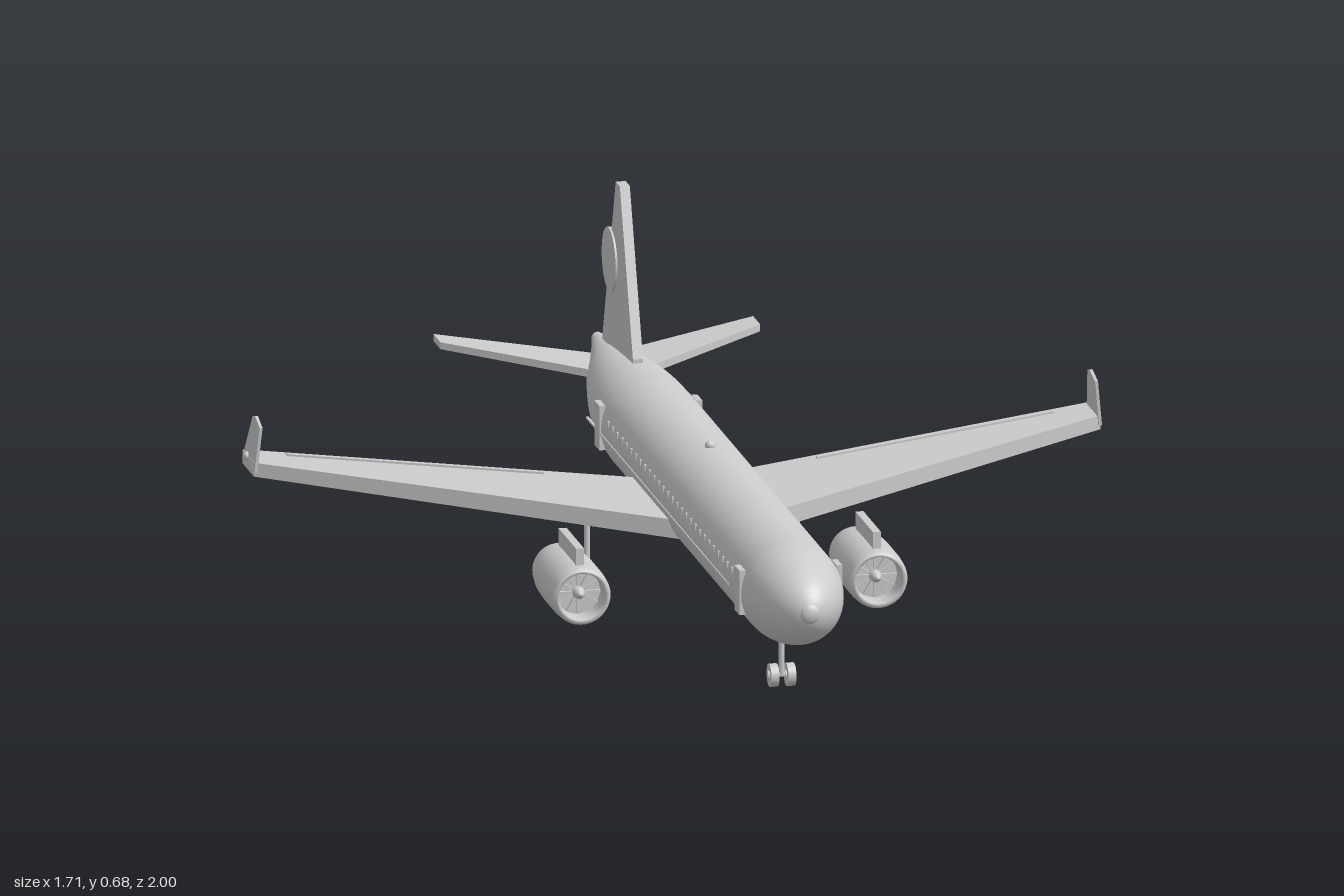
import * as THREE from 'three';

const grey = new THREE.MeshStandardMaterial({ color: 0xcccccc, side: THREE.DoubleSide });

function add(parent, name, geometry, x = 0, y = 0, z = 0) {
  const mesh = new THREE.Mesh(geometry, grey);
  mesh.name = name;
  mesh.position.set(x, y, z);
  parent.add(mesh);
  return mesh;
}

const box = (w, h, d) => new THREE.BoxGeometry(w, h, d);
const ball = (r) => new THREE.SphereGeometry(r, 16, 12);

// Cylinder lying along x
const wheelGeo = (r, w) => new THREE.CylinderGeometry(r, r, w, 24).rotateZ(Math.PI / 2);

// Revolved profile of [radius, z] points, listed from back to front
function turned(points, segments = 40) {
  const pts = points.map(([r, z]) => new THREE.Vector2(r, z));
  return new THREE.LatheGeometry(pts, segments).rotateX(Math.PI / 2);
}

// Tapered panel between an inner and an outer section {x, front, back, low, high}, on side s
function panel(inner, outer, s) {
  const geo = box(1, 1, 1);
  const p = geo.attributes.position;
  for (let i = 0; i < p.count; i++) {
    const end = p.getX(i) * s > 0 ? outer : inner;
    p.setXYZ(i, end.x * s, p.getY(i) > 0 ? end.high : end.low, p.getZ(i) > 0 ? end.front : end.back);
  }
  geo.computeVertexNormals();
  return geo;
}

// Upright plate from [z, y] corners, centred on x = 0
function plate(corners, thickness) {
  const shape = new THREE.Shape(corners.map(([z, y]) => new THREE.Vector2(-z, y)));
  return new THREE.ExtrudeGeometry(shape, { depth: thickness, bevelEnabled: false })
    .rotateY(Math.PI / 2).translate(-thickness / 2, 0, 0);
}

function fuselage() {
  const profile = new THREE.SplineCurve([
    [0.012, -0.962], [0.026, -0.9], [0.045, -0.83], [0.066, -0.76], [0.088, -0.64], [0.097, -0.55], [0.1, -0.46],
  ].map(([r, z]) => new THREE.Vector2(r, z))).getPoints(28).map((v) => [v.x, v.y]);
  profile.unshift([0, -0.967]);
  for (let i = 0; i <= 14; i++) {
    const a = (i / 14) * Math.PI / 2;
    profile.push([0.1 * Math.cos(a), 0.8 + 0.195 * Math.sin(a)]);
  }
  const geo = turned(profile, 48);
  // The tail sweeps upward as it narrows
  const p = geo.attributes.position;
  const radiusAt = (z) => {
    const i = Math.max(1, profile.findIndex((q) => q[1] >= z - 1e-5));
    const [a, b] = [profile[i - 1], profile[i]];
    return THREE.MathUtils.mapLinear(z, a[1], b[1], a[0], b[0]);
  };
  for (let i = 0; i < p.count; i++) {
    const z = p.getZ(i);
    const lift = z < -0.46 ? (0.1 - radiusAt(z)) * 0.6 : 0;
    p.setY(i, p.getY(i) + 0.2525 + lift);
  }
  geo.computeVertexNormals();
  return geo;
}

function engine(s) {
  const g = new THREE.Group();
  g.name = 'engine';
  g.position.set(0.297 * s, 0.115, 0);
  // Nacelle with rounded lip and hollow intake
  add(g, 'nacelle', turned([
    [0.03, 0.03], [0.046, 0.026], [0.052, 0.04], [0.058, 0.08], [0.06, 0.13], [0.06, 0.22],
    [0.058, 0.255], [0.053, 0.267], [0.047, 0.262], [0.045, 0.25], [0.045, 0.215],
  ]));
  add(g, 'fanDisc', new THREE.CircleGeometry(0.046, 32), 0, 0, 0.217);
  for (let i = 0; i < 12; i++) {
    const blade = add(g, 'fanBlade', box(0.005, 0.032, 0.006).translate(0, 0.028, 0), 0, 0, 0.222);
    blade.rotation.z = (i / 12) * Math.PI * 2;
  }
  add(g, 'spinner', turned([[0.013, 0.217], [0.011, 0.235], [0.006, 0.247], [0, 0.25]], 20));
  add(g, 'exhaustNozzle', turned([[0.022, 0.01], [0.031, -0.01], [0.024, 0.01], [0.026, 0.035]], 28));
  add(g, 'exhaustCone', turned([[0, -0.008], [0.012, 0.012], [0.02, 0.03]], 20));
  add(g, 'pylon', box(0.016, 0.045, 0.16), 0, 0.07, 0.16);
  return g;
}

function landingGear(name, x, z, top, r, halfTrack, width) {
  const g = new THREE.Group();
  g.name = name;
  g.position.set(x, 0, z);
  const axleY = name === 'noseGear' ? 0.062 : r;
  add(g, 'strut', new THREE.CylinderGeometry(0.006, 0.006, top - axleY, 12), 0, (top + axleY) / 2);
  add(g, 'axle', wheelGeo(0.005, halfTrack * 2), 0, axleY);
  for (const s of [-1, 1]) {
    add(g, 'wheel', wheelGeo(r, width), s * halfTrack, axleY);
    add(g, 'hub', wheelGeo(r * 0.4, width + 0.006), s * halfTrack, axleY);
  }
  return g;
}

function wing(s) {
  const g = new THREE.Group();
  g.name = 'wing';
  const root = { x: 0.05, front: 0.155, back: -0.186, low: 0.186, high: 0.224 };
  const tip = { x: 0.847, front: -0.23, back: -0.335, low: 0.262, high: 0.29 };
  add(g, 'wingPanel', panel(root, tip, s));
  // Raised flap strip near the trailing edge
  const at = (t) => {
    const mix = (k) => THREE.MathUtils.lerp(root[k], tip[k], t);
    return { x: mix('x'), front: mix('back') + 0.03, back: mix('back') + 0.018, low: mix('high') - 0.004, high: mix('high') + 0.004 };
  };
  add(g, 'flapStrip', panel(at(0.28), at(0.9), s));
  // Winglet, leaning slightly inward
  const winglet = add(g, 'winglet', plate([[-0.22, 0], [-0.335, 0], [-0.283, 0.098], [-0.262, 0.104], [-0.215, 0.092]], 0.006), 0.845 * s, 0.272);
  winglet.rotation.z = 0.1 * s;
  add(g, 'navigationLight', ball(0.009), 0.847 * s, 0.288, -0.292);
  return g;
}

export function createModel() {
  const model = new THREE.Group();
  model.name = 'airliner';

  add(model, 'fuselage', fuselage());
  add(model, 'noseCap', ball(0.02).scale(1, 1, 0.5), 0, 0.2525, 0.99);

  // Parts repeated on both sides
  for (const s of [1, -1]) {
    model.add(wing(s), engine(s));
    add(model, 'tailplane', panel(
      { x: 0.01, front: -0.725, back: -0.89, low: 0.276, high: 0.292 },
      { x: 0.32, front: -0.935, back: -1, low: 0.307, high: 0.321 }, s));
    model.add(landingGear('mainGear', 0.21 * s, -0.095, 0.21, 0.028, 0.024, 0.018));
    for (const z of [0.79, -0.495]) add(model, 'door', box(0.012, 0.09, 0.046), 0.097 * s, 0.255, z);
    for (let i = 0; i < 28; i++) {
      add(model, 'window', box(0.005, 0.012, 0.008), 0.0965 * s, 0.277, 0.72 - i * 0.042);
    }
    add(model, 'sideStripe', box(0.005, 0.004, 1.3), 0.099 * s, 0.243, 0.05);
  }

  // Upright tail with a plain round plate at its trailing edge
  add(model, 'fin', plate([[-0.59, 0.33], [-0.59, 0.358], [-0.71, 0.677], [-0.748, 0.677], [-0.872, 0.328]], 0.02));
  add(model, 'finDisc', wheelGeo(0.064, 0.028), 0, 0.508, -0.795);

  model.add(landingGear('noseGear', 0, 0.727, 0.17, 0.023, 0.017, 0.016));
  add(model, 'topBeacon', ball(0.01), 0, 0.355, 0.07);
  add(model, 'bellyBeacon', ball(0.01), 0, 0.148, -0.04);
  return model;
}
